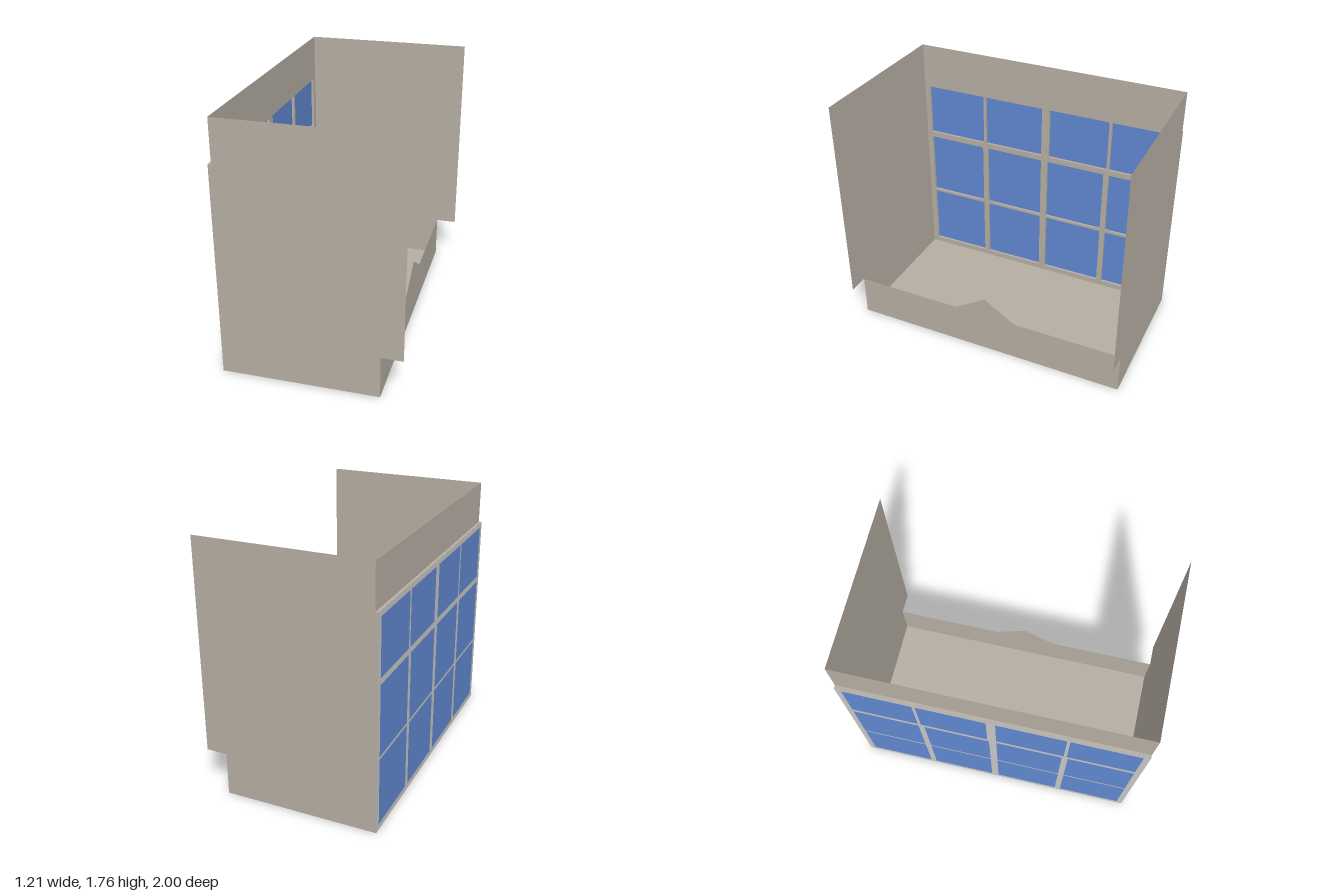
import * as THREE from 'three';

export function createModel() {
  const model = new THREE.Group();
  const mat = (name, color) => new THREE.MeshStandardMaterial({ name, color, side: THREE.DoubleSide });
  const plaster = mat('warm grey wall', 0xb5ada2);
  const glass = mat('blue glass', 0x5f87d0);
  const trim = mat('light grey trim', 0xc6c6c6);

  const add = (name, geometry, material, x = 0, y = 0, z = 0) => {
    const mesh = new THREE.Mesh(geometry, material);
    mesh.name = name;
    mesh.position.set(x, y, z);
    model.add(mesh);
    return mesh;
  };
  const outline = (points) => new THREE.Shape(points.map(([a, b]) => new THREE.Vector2(a, b)));
  // Turns a shape drawn in (z, y) so its depth runs towards -x
  const across = (geometry) => geometry.rotateY(-Math.PI / 2);

  const outer = -0.605, inner = -0.583, front = 0.455, sill = 1.465, top = 1.76;

  // Stepped side walls, single sheets
  const side = outline([
    [outer, 0], [front, 0], [front, 0.297], [0.6, 0.297],
    [0.6, top], [inner, top], [inner, sill], [outer, sill],
  ]);
  for (const z of [-1, 1]) {
    add(z > 0 ? 'leftWall' : 'rightWall', new THREE.ShapeGeometry(side), plaster, 0, 0, z);
  }

  // Floor
  add('floor', new THREE.PlaneGeometry(front - outer, 2).rotateX(-Math.PI / 2), plaster, (front + outer) / 2);

  // Low wall with a central peak
  const parapet = outline([
    [-1, 0], [1, 0], [1, 0.295], [0.225, 0.295], [0, 0.44], [-0.225, 0.295], [-1, 0.295],
  ]);
  add('lowWall', across(new THREE.ShapeGeometry(parapet)), plaster, front);

  // Upper band above the windows
  add('upperBand', across(new THREE.PlaneGeometry(2, top - sill)), plaster, inner, (top + sill) / 2);

  // Window grid: rows of [bottom, top, columns of [z0, z1]]
  const wideColumns = [[-0.96, -0.505], [-0.485, -0.03], [0.03, 0.485], [0.505, 0.96]];
  const columns = [[-0.96, -0.505], [-0.465, -0.02], [0.03, 0.475], [0.515, 0.96]];
  const rows = [[0.04, 0.503, columns], [0.522, 1.003, columns], [1.045, 1.43, wideColumns]];

  const frame = outline([[-1, 0], [1, 0], [1, sill], [-1, sill]]);
  for (const [y0, y1, spans] of rows) {
    for (const [z0, z1] of spans) {
      frame.holes.push(new THREE.Path([
        new THREE.Vector2(z0, y0), new THREE.Vector2(z0, y1),
        new THREE.Vector2(z1, y1), new THREE.Vector2(z1, y0),
      ]));
      add('windowPane', new THREE.BoxGeometry(0.002, y1 - y0, z1 - z0), glass,
        outer + 0.002, (y0 + y1) / 2, (z0 + z1) / 2);
    }
  }
  const depth = inner - outer - 0.001;
  add('windowFrame', across(new THREE.ExtrudeGeometry(frame, { depth, bevelEnabled: false })), plaster, inner);
  add('outerTrim', across(new THREE.ShapeGeometry(frame)), trim, outer);

  // Small catches on the middle rail
  for (const z of [-0.53, -0.44, 0.45, 0.54]) {
    add('windowCatch', new THREE.BoxGeometry(0.01, 0.012, 0.03), plaster, inner - 0.004, 0.525, z);
  }
  return model;
}
